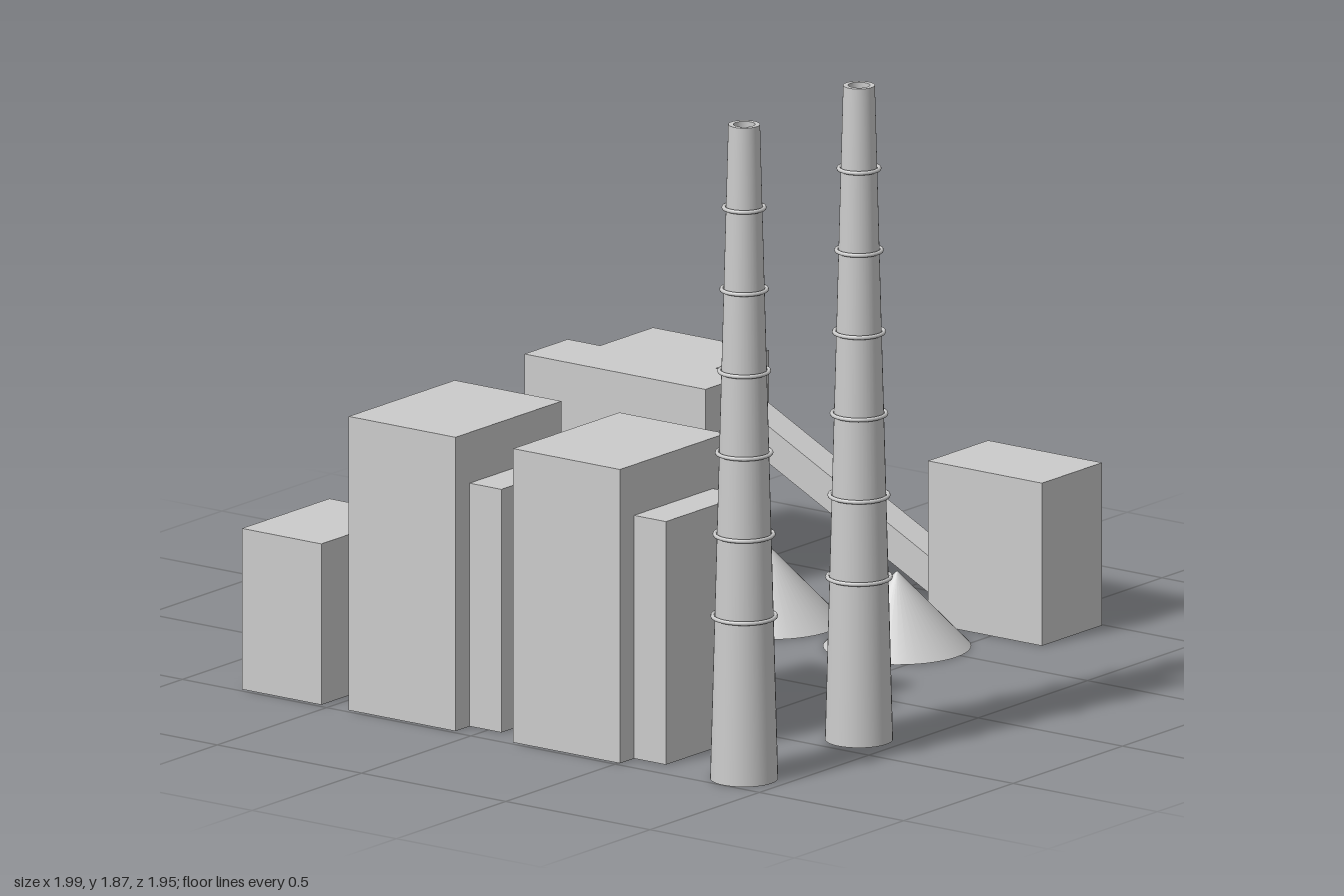
import * as THREE from 'three';

const grey = new THREE.MeshStandardMaterial({ color: 0xcccccc });
const greyOpen = new THREE.MeshStandardMaterial({ color: 0xcccccc, side: THREE.DoubleSide });

function add(parent, name, geometry, material = grey) {
  const mesh = new THREE.Mesh(geometry, material);
  mesh.name = name;
  parent.add(mesh);
  return mesh;
}

// Box standing on the ground, given by its footprint and height
function block(parent, name, x0, x1, z0, z1, h) {
  const mesh = add(parent, name, new THREE.BoxGeometry(x1 - x0, h, z1 - z0));
  mesh.position.set((x0 + x1) / 2, h / 2, (z0 + z1) / 2);
}

// Sloping duct with vertical ends; (a, ya) to (b, yb) is its underside along local x
function conveyor(parent, name, a, ya, b, yb, width, thick = 0.105) {
  const side = new THREE.Shape([
    new THREE.Vector2(a, ya), new THREE.Vector2(b, yb),
    new THREE.Vector2(b, yb + thick), new THREE.Vector2(a, ya + thick),
  ]);
  const g = new THREE.ExtrudeGeometry(side, { depth: width, bevelEnabled: false });
  g.translate(0, 0, -width / 2);
  return add(parent, name, g);
}

function chimney(x, z) {
  const group = new THREE.Group();
  group.name = 'chimney';
  const H = 1.87, rBase = 0.094, rTop = 0.044;
  const radiusAt = (y) => rBase + (rTop - rBase) * (y / H);

  // Tapered open shaft
  const shaft = new THREE.CylinderGeometry(rTop, rBase, H, 40, 1, true);
  shaft.translate(0, H / 2, 0);
  add(group, 'chimneyShaft', shaft, greyOpen);

  // Rim and inner lip of the mouth
  const rim = new THREE.RingGeometry(0.03, rTop, 40);
  rim.rotateX(-Math.PI / 2).translate(0, H, 0);
  add(group, 'chimneyRim', rim, greyOpen);
  const lip = new THREE.CylinderGeometry(0.03, 0.03, 0.1, 40, 1, true);
  lip.translate(0, H - 0.05, 0);
  add(group, 'chimneyLip', lip, greyOpen);

  // Evenly spaced bands
  for (let i = 0; i < 6; i++) {
    const y = 0.465 + i * 0.2335;
    const band = new THREE.TorusGeometry(radiusAt(y) + 0.006, 0.006, 8, 40);
    band.rotateX(Math.PI / 2).translate(0, y, 0);
    add(group, 'chimneyBand', band);
  }
  group.position.set(x, 0, z);
  return group;
}

export function createModel() {
  const model = new THREE.Group();
  model.name = 'powerPlant';

  // Chimneys
  for (const x of [-0.905, -0.38]) model.add(chimney(x, 0.875));

  // Two boiler houses, each with a lower front annex
  for (const z of [-0.435, 0.135]) {
    block(model, 'boilerHouse', -0.985, -0.5, z, z + 0.37, 0.84);
    block(model, 'boilerAnnex', -0.92, -0.56, z + 0.37, z + 0.48, 0.695);
  }

  // Transfer houses
  block(model, 'rearTransferHouse', -0.985, -0.585, -0.805, -0.53, 0.46);
  block(model, 'frontTransferHouse', 0.72, 0.995, 0.28, 0.675, 0.465);

  // Processing hall
  block(model, 'lowHall', 0.155, 0.54, -0.87, -0.468, 0.4);
  block(model, 'crossHall', 0.54, 0.738, -0.982, -0.355, 0.605);
  block(model, 'highHall', 0.738, 0.98, -0.87, -0.468, 0.605);

  // Sloping conveyors
  conveyor(model, 'rearConveyor', -0.6, 0.33, 0.17, 0.026, 0.09).position.z = -0.67;
  const sideConveyor = conveyor(model, 'sideConveyor', -0.29, 0.02, 0.48, 0.41, 0.095);
  sideConveyor.rotation.y = Math.PI / 2;
  sideConveyor.position.x = 0.857;

  // Stockpiles, open below
  for (const z of [-0.09, 0.355]) {
    const pile = add(model, 'stockpile', new THREE.ConeGeometry(0.205, 0.215, 48, 1, true), greyOpen);
    pile.position.set(0.48, 0.1075, z);
  }
  return model;
}
